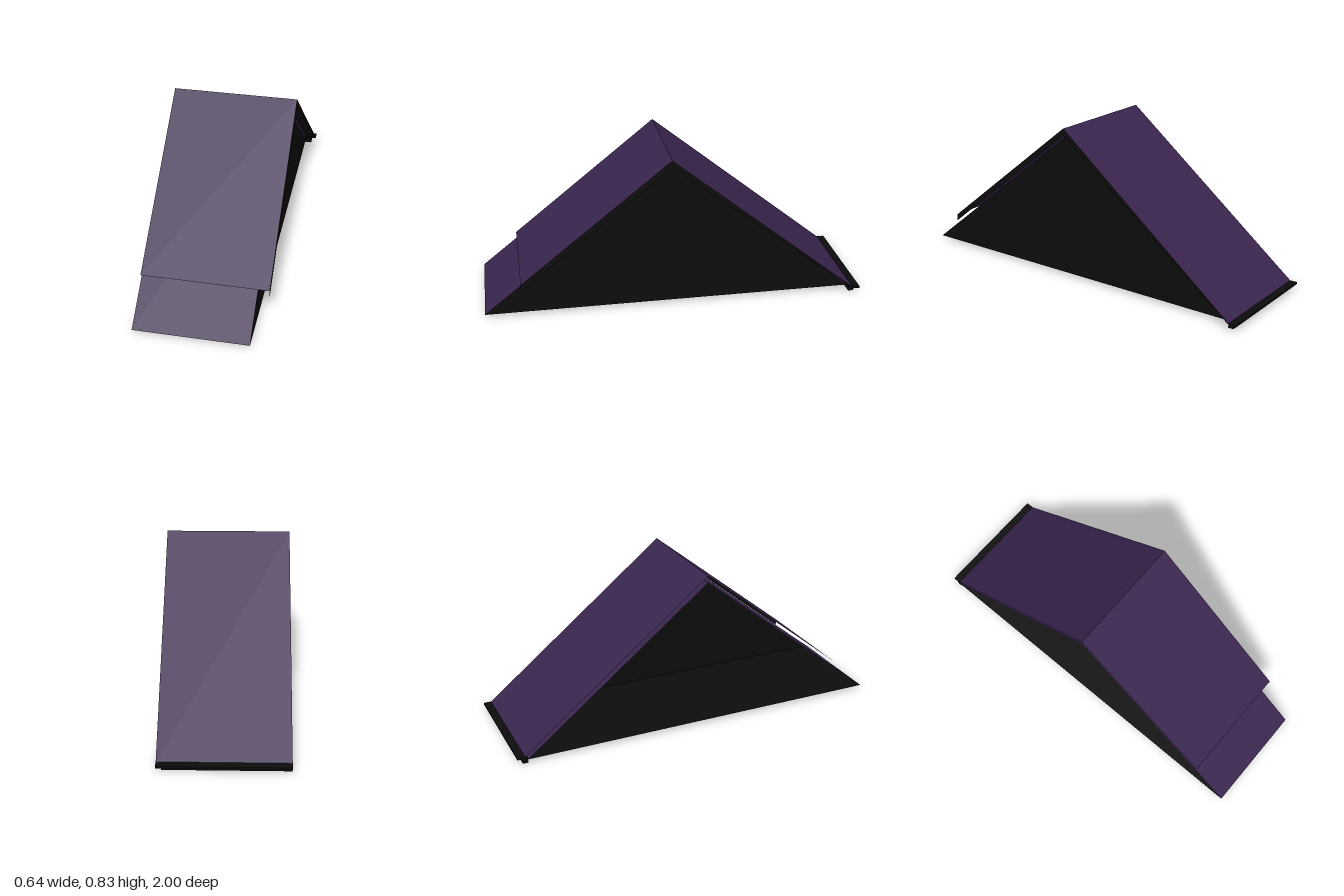
import * as THREE from 'three';

const LEFT = 0.32, RIGHT = -0.32, WALL = 0.26;

// Profiles as [z, y], running from the front eave over the ridge to the back eave
const outer = [[0.81, 0.205], [0.03, 0.83], [-0.965, 0.03]];
const inner = [[1, 0.018], [0.03, 0.793], [-0.945, 0.018]];

// Quad or triangle from corners listed counter-clockwise as seen from outside
function face(corners) {
  const g = new THREE.BufferGeometry();
  g.setAttribute('position', new THREE.Float32BufferAttribute(corners.flat(), 3));
  g.setIndex(corners.length === 3 ? [0, 1, 2] : [0, 1, 2, 0, 2, 3]);
  g.computeVertexNormals();
  return g;
}

// Sloping sheet between two profile points, spanning x0 to x1
function slope(a, b, x0, x1, drop = 0) {
  return face([
    [x0, a[1] - drop, a[0]], [x1, a[1] - drop, a[0]],
    [x1, b[1] - drop, b[0]], [x0, b[1] - drop, b[0]],
  ]);
}

export function createModel() {
  const purple = new THREE.MeshStandardMaterial({ color: 0x3b2650, side: THREE.DoubleSide });
  purple.name = 'roofPurple';
  const black = new THREE.MeshStandardMaterial({ color: 0x0d0d0d, side: THREE.DoubleSide });
  black.name = 'trimBlack';

  const model = new THREE.Group();
  model.name = 'gableRoof';
  const add = (name, geometry, material) => {
    const mesh = new THREE.Mesh(geometry, material);
    mesh.name = name;
    model.add(mesh);
  };

  // Raised outer sheets, inner sheets and the edge board under the overhang
  ['front', 'back'].forEach((side, i) => {
    const a = outer[i], b = outer[i + 1];
    add(side + 'OuterSheet', slope(a, b, RIGHT, LEFT), purple);
    add(side + 'InnerSheet', slope(inner[i], inner[i + 1], RIGHT, WALL), purple);
    const dropA = side === 'front' ? 0.035 : 0.037;
    const dropB = side === 'front' ? 0.037 : 0.005;
    add(side + 'EdgeBoard', face([
      [LEFT, a[1] - dropA, a[0]], [LEFT, b[1] - dropB, b[0]],
      [LEFT, b[1], b[0]], [LEFT, a[1], a[0]],
    ]), black);
  });

  // Dark lining below the back overhang
  add('backOverhangLining', slope(outer[1], outer[2], WALL, LEFT, 0.004), black);

  // Closed gable wall; the opposite end stays open
  add('gableWall', face(inner.map(([z, y]) => [WALL, y, z])), black);

  // Floor
  add('floor', face([
    [RIGHT, 0.018, 1], [WALL, 0.018, 1], [WALL, 0.018, -0.95], [RIGHT, 0.018, -0.95],
  ]), black);

  // Back eave: thin lip with a bar beneath it
  const lip = new THREE.BoxGeometry(LEFT - RIGHT, 0.01, 0.04);
  lip.translate(0, 0.03, -0.98);
  add('eaveLip', lip, black);
  const bar = new THREE.BoxGeometry(0.615, 0.026, 0.028);
  bar.translate(-0.0125, 0.013, -0.96);
  add('eaveBar', bar, black);

  return model;
}
